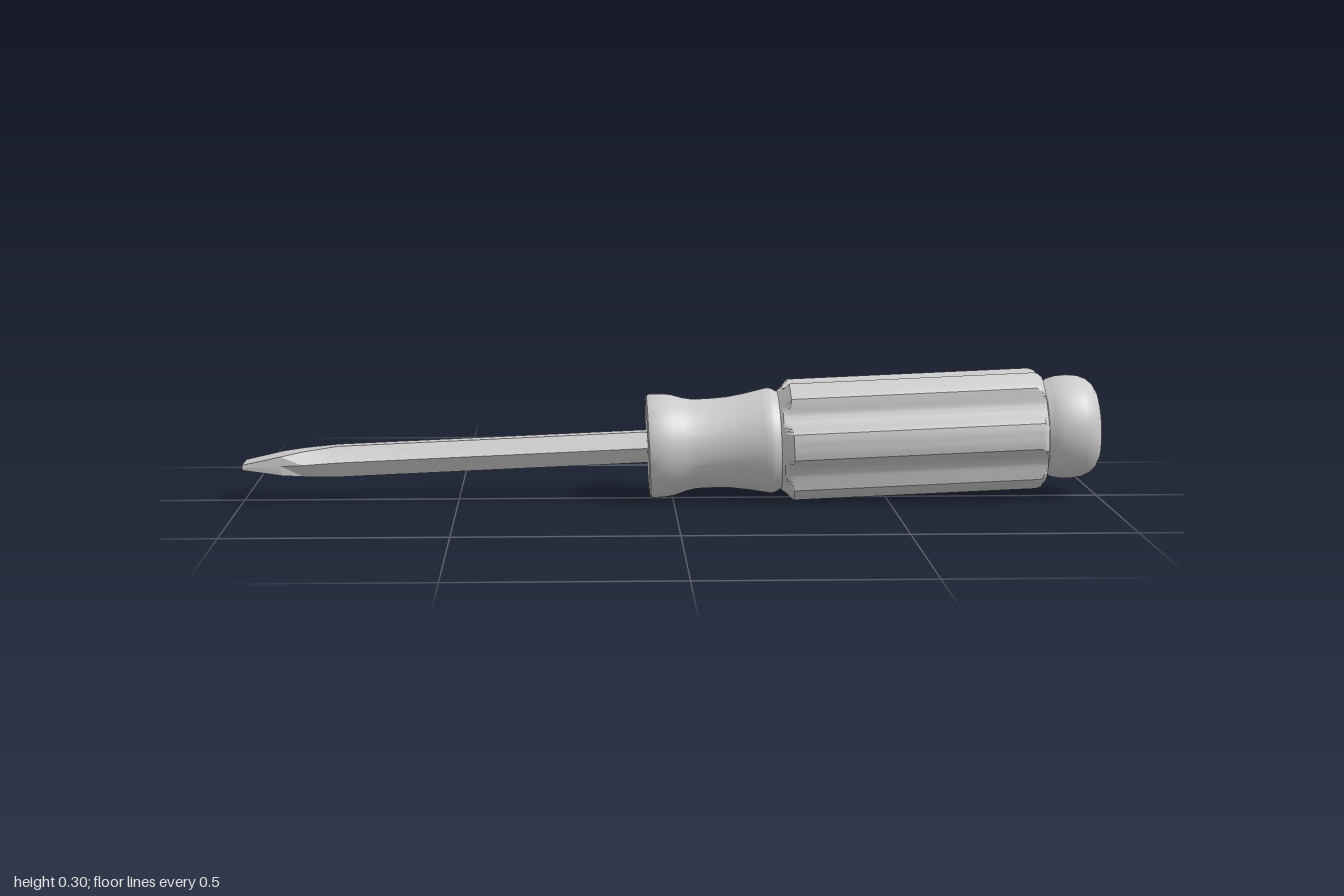
import * as THREE from 'three';
import { toCreasedNormals } from 'three/addons/utils/BufferGeometryUtils.js';

const material = new THREE.MeshStandardMaterial({ color: 0xcccccc });

// Closed skin over cross-sections along x; each ring is a list of [y, z], turning from +z to +y.
function loft(sections, crease) {
  const n = sections[0].ring.length, last = sections.length - 1;
  const pos = [], idx = [];
  for (const { x, ring } of sections) for (const [y, z] of ring) pos.push(x, y, z);
  for (let i = 0; i < last; i++) for (let j = 0; j < n; j++) {
    const k = (j + 1) % n, a = i * n + j, b = i * n + k;
    idx.push(a, a + n, b, b, a + n, b + n);
  }
  const c = pos.length / 3;
  pos.push(sections[0].x, 0, 0, sections[last].x, 0, 0);
  for (let j = 0; j < n; j++) {
    const k = (j + 1) % n;
    idx.push(c, j, k, c + 1, last * n + k, last * n + j);
  }
  const g = new THREE.BufferGeometry();
  g.setAttribute('position', new THREE.Float32BufferAttribute(pos, 3));
  g.setIndex(idx);
  return toCreasedNormals(g, crease);
}

// Turned part about the x axis from [x, radius] pairs
function turned(profile) {
  const g = new THREE.LatheGeometry(profile.map(([x, r]) => new THREE.Vector2(r, x)), 64);
  g.rotateZ(-Math.PI / 2);
  return toCreasedNormals(g, 0.6);
}

// Radius of the fluted grip: six lobes with scooped grooves between
function fluteRadius(deg) {
  const off = Math.abs(((deg + 30) % 60) - 30);
  const u = Math.max(0, (off - 12) / 18);
  return 0.144 - 0.022 * Math.sin(u * Math.PI / 2);
}

function gripSection([x, limit]) {
  const ring = [];
  for (let d = 0; d < 360; d += 3) {
    const r = Math.min(limit, fluteRadius(d)), a = THREE.MathUtils.degToRad(d);
    ring.push([r * Math.sin(a), r * Math.cos(a)]);
  }
  return { x, ring };
}

// Six-sided blade section: side corner at +-w, flats of half width f at height +-h
const hex = ([x, w, f, h]) => ({ x, ring: [[0, w], [h, f], [h, -f], [0, -w], [-h, -f], [-h, f]] });

export function createModel() {
  const model = new THREE.Group();
  model.name = 'screwdriver';
  const tool = new THREE.Group();
  tool.name = 'tiltedTool';
  tool.rotation.z = 0.042;
  tool.position.y = 0.126;
  model.add(tool);
  const add = (name, geometry) => {
    const mesh = new THREE.Mesh(geometry, material);
    mesh.name = name;
    tool.add(mesh);
  };

  // Hexagonal shaft flaring into a flat wedge tip
  add('shaftAndTip', loft([
    [-1, 0.046, 0.045, 0.006], [-0.91, 0.052, 0.05, 0.022], [-0.86, 0.055, 0.036, 0.029],
    [-0.78, 0.039, 0.019, 0.036], [-0.04, 0.039, 0.019, 0.036],
  ].map(hex), 0.2));

  // Waisted collar
  add('collar', turned([
    [-0.06, 0], [-0.06, 0.112], [-0.057, 0.119], [-0.05, 0.122], [-0.02, 0.121], [0.0, 0.118],
    [0.025, 0.11], [0.05, 0.105], [0.09, 0.105], [0.13, 0.107], [0.17, 0.113], [0.21, 0.121],
    [0.225, 0.124], [0.235, 0.122], [0.245, 0.116], [0.27, 0.112], [0.27, 0],
  ]));

  // Fluted grip with chamfered ends
  add('grip', loft([
    [0.245, 0.112], [0.255, 0.122], [0.275, 0.144], [0.845, 0.144],
    [0.856, 0.14], [0.866, 0.128], [0.87, 0.112],
  ].map(gripSection), 0.45));

  // Rounded end cap
  add('endCap', turned([
    [0.86, 0], [0.86, 0.106], [0.872, 0.108], [0.885, 0.116], [0.905, 0.121], [0.93, 0.122],
    [0.955, 0.119], [0.972, 0.112], [0.986, 0.1], [0.994, 0.086], [0.999, 0.065], [1, 0.04], [1, 0],
  ]));

  return model;
}
